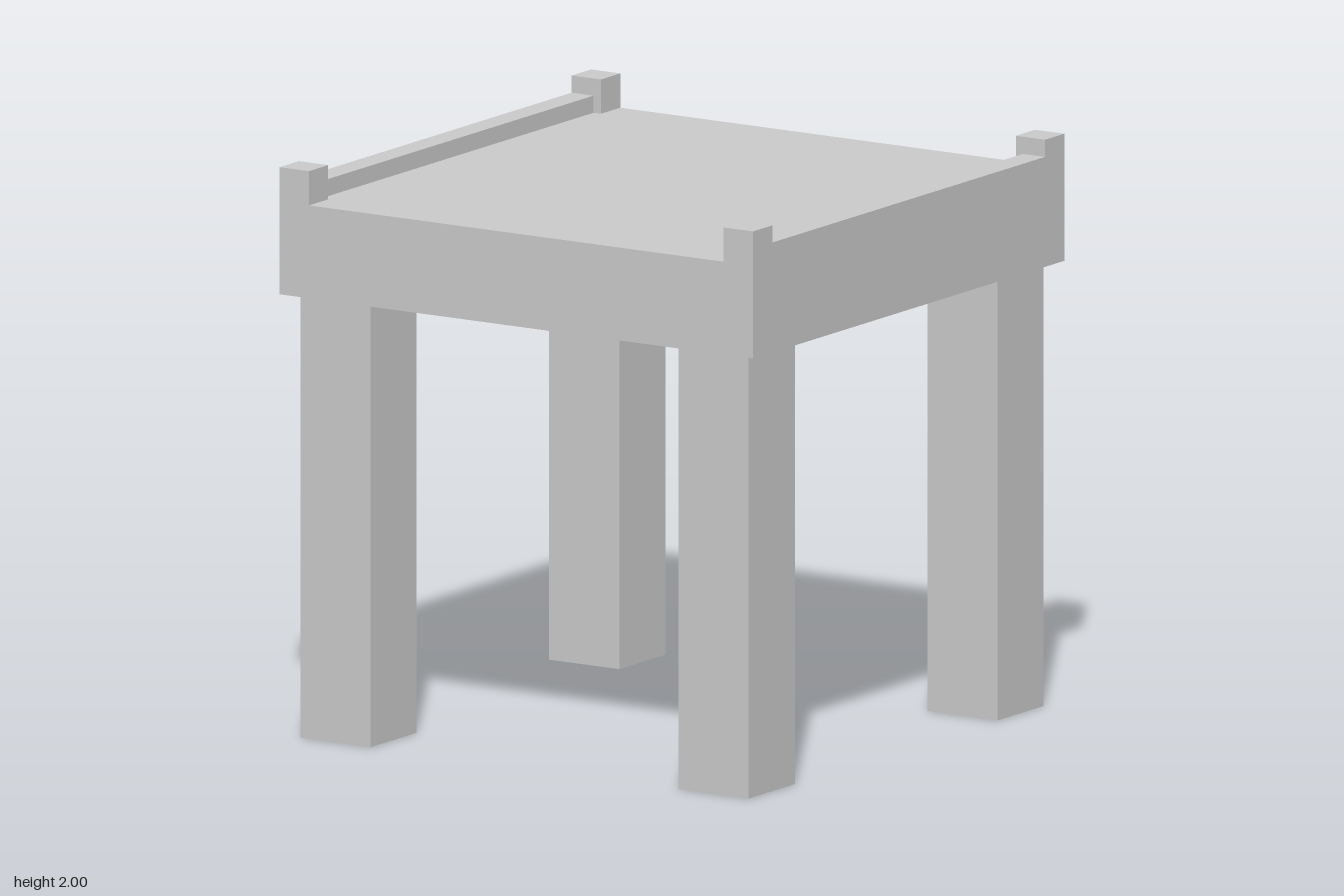
import * as THREE from 'three';

const material = new THREE.MeshStandardMaterial({ color: 0xcccccc, flatShading: true });

// Box given by its size, its centre in x and z, and its bottom height
function block(name, [w, h, d], x, bottom, z) {
  const mesh = new THREE.Mesh(new THREE.BoxGeometry(w, h, d), material);
  mesh.name = name;
  mesh.position.set(x, bottom + h / 2, z);
  return mesh;
}

export function createModel() {
  const table = new THREE.Group();
  table.name = 'table';

  const half = 0.97;      // half width of the top
  const under = 1.555;    // underside of the top
  const surface = 1.88;   // upper face of the top
  const post = 0.12;      // corner post width
  const rail = 0.09;      // side rail width
  const leg = 0.287;      // leg width

  table.add(block('tableTop', [half * 2, surface - under, half * 2], 0, under, 0));

  for (const sx of [-1, 1]) {
    const side = sx > 0 ? 'left' : 'right';

    // Low rail along each side, between the corner posts
    table.add(block(`${side}Rail`, [rail, 0.06, 2 * (half - post)], sx * (half - rail / 2), surface, 0));

    // Leg and raised post at each corner
    for (const sz of [-1, 1]) {
      const corner = side + (sz > 0 ? 'Front' : 'Back');
      table.add(block(`${corner}Leg`, [leg, under, leg], sx * 0.775, 0, sz * 0.775));
      const p = half - post / 2;
      table.add(block(`${corner}Post`, [post, 2 - surface, post], sx * p, surface, sz * p));
    }
  }
  return table;
}
